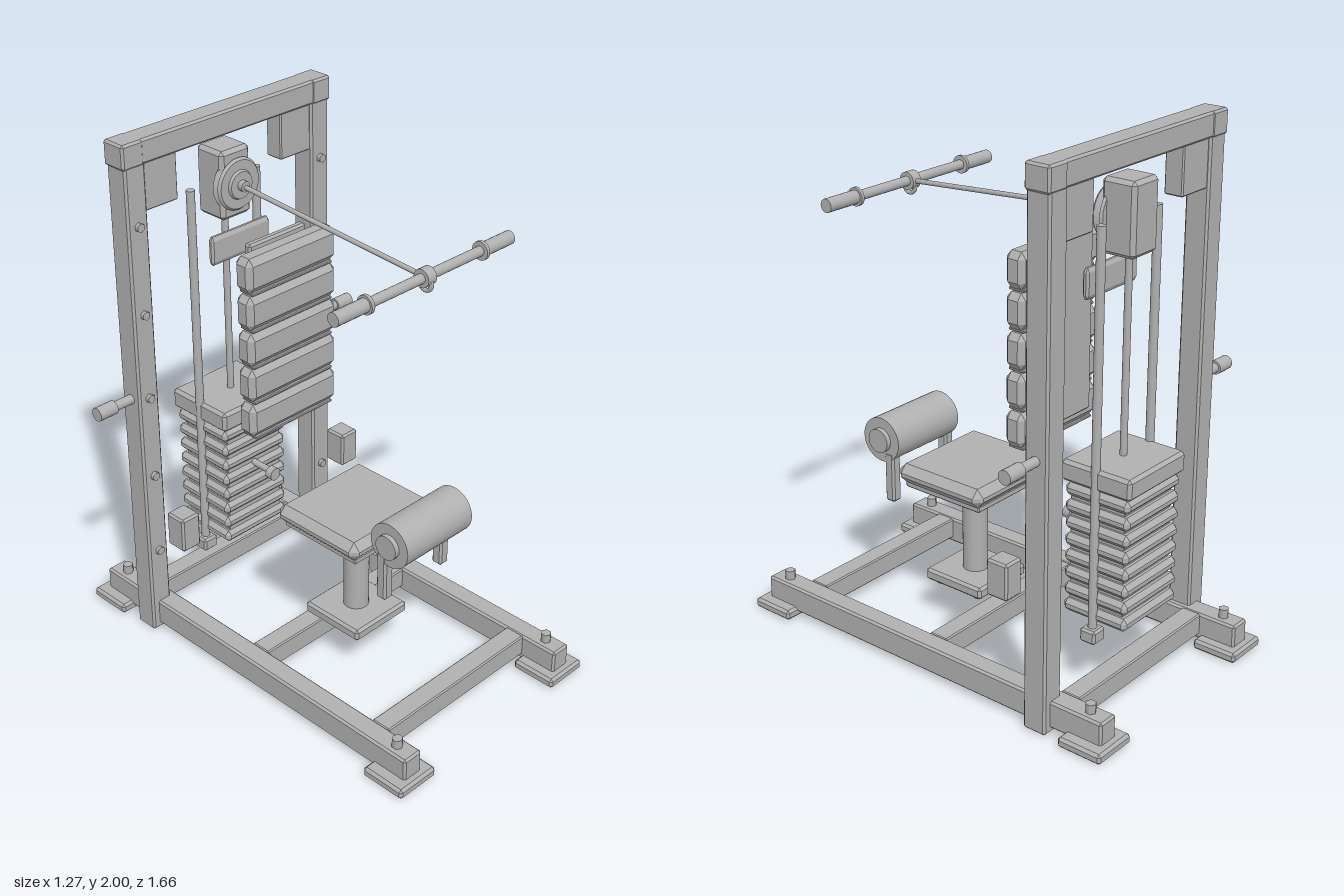
import * as THREE from 'three';
import { ConvexGeometry } from 'three/addons/geometries/ConvexGeometry.js';

const steel = new THREE.MeshStandardMaterial({ color: 0xb0b0b0 });
steel.name = 'grey steel';

// Box with flat chamfers, b = [bx, by, bz] inset along each axis
function chamferBox(w, h, d, b) {
  const [bx, by, bz] = Array.isArray(b) ? b : [b, b, b];
  const pts = [];
  for (const sx of [-1, 1]) for (const sy of [-1, 1]) for (const sz of [-1, 1]) {
    const x = w / 2, y = h / 2, z = d / 2;
    pts.push(new THREE.Vector3(sx * x, sy * (y - by), sz * (z - bz)));
    pts.push(new THREE.Vector3(sx * (x - bx), sy * y, sz * (z - bz)));
    pts.push(new THREE.Vector3(sx * (x - bx), sy * (y - by), sz * z));
  }
  return new ConvexGeometry(pts);
}

export function createModel() {
  const model = new THREE.Group();
  model.name = 'cableMachine';

  function add(name, geometry, x = 0, y = 0, z = 0) {
    const mesh = new THREE.Mesh(geometry, steel);
    mesh.name = name;
    mesh.position.set(x, y, z);
    model.add(mesh);
    return mesh;
  }
  // Chamfered box given by its limits
  function block(name, x0, x1, y0, y1, z0, z1, b = 0.008) {
    return add(name, chamferBox(x1 - x0, y1 - y0, z1 - z0, b),
      (x0 + x1) / 2, (y0 + y1) / 2, (z0 + z1) / 2);
  }
  // Cylinder between two points
  function rod(name, from, to, r, sides = 20) {
    const a = new THREE.Vector3(...from), b = new THREE.Vector3(...to);
    const mid = a.clone().add(b).multiplyScalar(0.5);
    const mesh = add(name, new THREE.CylinderGeometry(r, r, a.distanceTo(b), sides), mid.x, mid.y, mid.z);
    mesh.quaternion.setFromUnitVectors(new THREE.Vector3(0, 1, 0), b.sub(a).normalize());
    return mesh;
  }
  // Box mirrored to both sides, x limits given for the left
  function pair(name, x0, x1, ...rest) {
    block(name + 'Left', x0, x1, ...rest);
    block(name + 'Right', -x1, -x0, ...rest);
  }

  // Frame
  pair('upright', 0.39, 0.48, 0, 1.92, -0.585, -0.49);
  block('topBeam', -0.485, 0.485, 1.91, 2, -0.585, -0.49);
  pair('topBeamCap', 0.395, 0.488, 1.908, 2, -0.588, -0.487);
  pair('gusset', 0.245, 0.445, 1.735, 1.915, -0.575, -0.5, 0.005);
  pair('baseRail', 0.365, 0.45, 0.02, 0.125, -0.8, 0.795);
  for (const z of [-0.61, -0.005, 0.605])
    block('crossBar', -0.37, 0.37, 0.04, 0.125, z - 0.04, z + 0.04, 0.005);
  for (const [z, bolt] of [[0.735, 0.72], [-0.742, -0.725]])
    pair('foot', 0.32, 0.5, 0, 0.04, z - 0.09, z + 0.09, 0.01);

  for (const s of [-1, 1]) {
    // Bolts
    for (const z of [0.72, -0.725]) rod('footBolt', [s * 0.408, 0.11, z], [s * 0.408, 0.16, z], 0.02, 6);
    for (const y of [0.36, 0.695, 1.025, 1.36, 1.695])
      rod('uprightBolt', [s * 0.435, y, -0.5], [s * 0.435, y, -0.475], 0.017, 6);
    // Side handles
    rod('sideHandleStem', [s * 0.47, 1.02, -0.537], [s * 0.57, 1.02, -0.537], 0.018);
    rod('sideHandleGrip', [s * 0.56, 1.02, -0.537], [s * 0.637, 1.02, -0.537], 0.026);
    // Guide rods
    rod('guideRod', [s * 0.157, 0.24, -0.54], [s * 0.157, 1.73, -0.54], 0.016);
    block('guideRodFoot', s * 0.157 - 0.033, s * 0.157 + 0.033, 0.215, 0.268, -0.573, -0.507);
  }
  pair('storageBox', 0.375, 0.46, 0.445, 0.585, -0.4, -0.31);

  // Weight stack
  block('stackTop', -0.165, 0.165, 0.795, 0.875, -0.688, -0.395, 0.012);
  block('stackCore', -0.135, 0.135, 0.29, 0.8, -0.65, -0.42, 0.002);
  for (let i = 0; i < 8; i++) {
    const y = 0.287 + i * 0.0645;
    block('weightPlate', -0.158, 0.158, y, y + 0.05, -0.677, -0.405, [0.016, 0.017, 0.016]);
  }
  rod('selectorPin', [0, 0.59, -0.45], [0, 0.59, -0.31], 0.013);
  rod('selectorKnob', [0, 0.585, -0.33], [0, 0.585, -0.3], 0.025);
  rod('liftRod', [0, 0.86, -0.54], [0, 1.63, -0.54], 0.013);

  // Pulley
  block('pulleyHousing', -0.07, 0.07, 1.6, 1.86, -0.605, -0.47, 0.014);
  const pulleyProfile = [[0, 0], [0.09, 0], [0.098, 0.008], [0.078, 0.02], [0.098, 0.032],
    [0.09, 0.042], [0.055, 0.042], [0.05, 0.052], [0.02, 0.052], [0.02, 0.072], [0, 0.072]];
  const pulleyGeo = new THREE.LatheGeometry(
    pulleyProfile.map(p => new THREE.Vector2(...p)), 32).toNonIndexed();
  pulleyGeo.computeVertexNormals();
  add('pulley', pulleyGeo, 0, 1.73, -0.495).rotation.x = Math.PI / 2;
  block('pulleyPlate', -0.14, 0.14, 1.455, 1.565, -0.478, -0.453, [0.008, 0.015, 0.008]);

  // Cable and pull bar
  rod('cable', [0, 1.727, -0.43], [0, 1.672, 0.41], 0.009, 12);
  rod('pullBar', [-0.41, 1.672, 0.425], [0.41, 1.672, 0.425], 0.018);
  for (const s of [-1, 1]) {
    rod('pullBarGrip', [s * 0.28, 1.672, 0.425], [s * 0.425, 1.672, 0.425], 0.025);
    rod('pullBarCollar', [s * 0.271, 1.672, 0.425], [s * 0.284, 1.672, 0.425], 0.034);
  }
  rod('barClamp', [-0.02, 1.672, 0.425], [0.02, 1.672, 0.425], 0.033);
  add('barHook', new THREE.TorusGeometry(0.025, 0.008, 10, 24), 0, 1.65, 0.428).rotation.y = Math.PI / 2;

  // Back rest
  for (let i = 0; i < 5; i++) {
    const y = 0.947 + i * 0.144;
    block('backPad', -0.215, 0.215, y - 0.066, y + 0.066, -0.265, -0.183, [0.02, 0.025, 0.02]);
    block('backPadPiping', -0.195, 0.195, y - 0.075, y - 0.064, -0.257, -0.19, 0.003);
  }
  block('backSpine', -0.185, 0.185, 0.89, 1.57, -0.243, -0.205, 0.004);
  block('backPlate', -0.137, 0.137, 0.935, 1.6, -0.294, -0.262, 0.008);

  // Seat
  block('seatPad', -0.22, 0.22, 0.585, 0.66, -0.073, 0.328, [0.028, 0.03, 0.028]);
  block('seatBoard', -0.19, 0.19, 0.563, 0.59, -0.05, 0.305, 0.005);
  rod('seatPost', [0, 0.12, 0.13], [0, 0.575, 0.13], 0.048, 28);
  block('seatBase', -0.135, 0.135, 0.165, 0.212, -0.005, 0.265, 0.01);
  for (const x of [-0.09, 0.09]) for (const z of [0.04, 0.22])
    rod('seatBaseBolt', [x, 0.147, z], [x, 0.17, z], 0.017, 6);

  // Thigh roller
  rod('roller', [-0.168, 0.705, 0.445], [0.168, 0.705, 0.445], 0.087, 36);
  rod('rollerAxle', [-0.187, 0.705, 0.445], [0.187, 0.705, 0.445], 0.047, 24);
  for (const s of [-1, 1])
    block('rollerArm', s * 0.148 - 0.022, s * 0.148 + 0.022, 0.46, 0.66, 0.386, 0.431, 0.008);

  return model;
}
